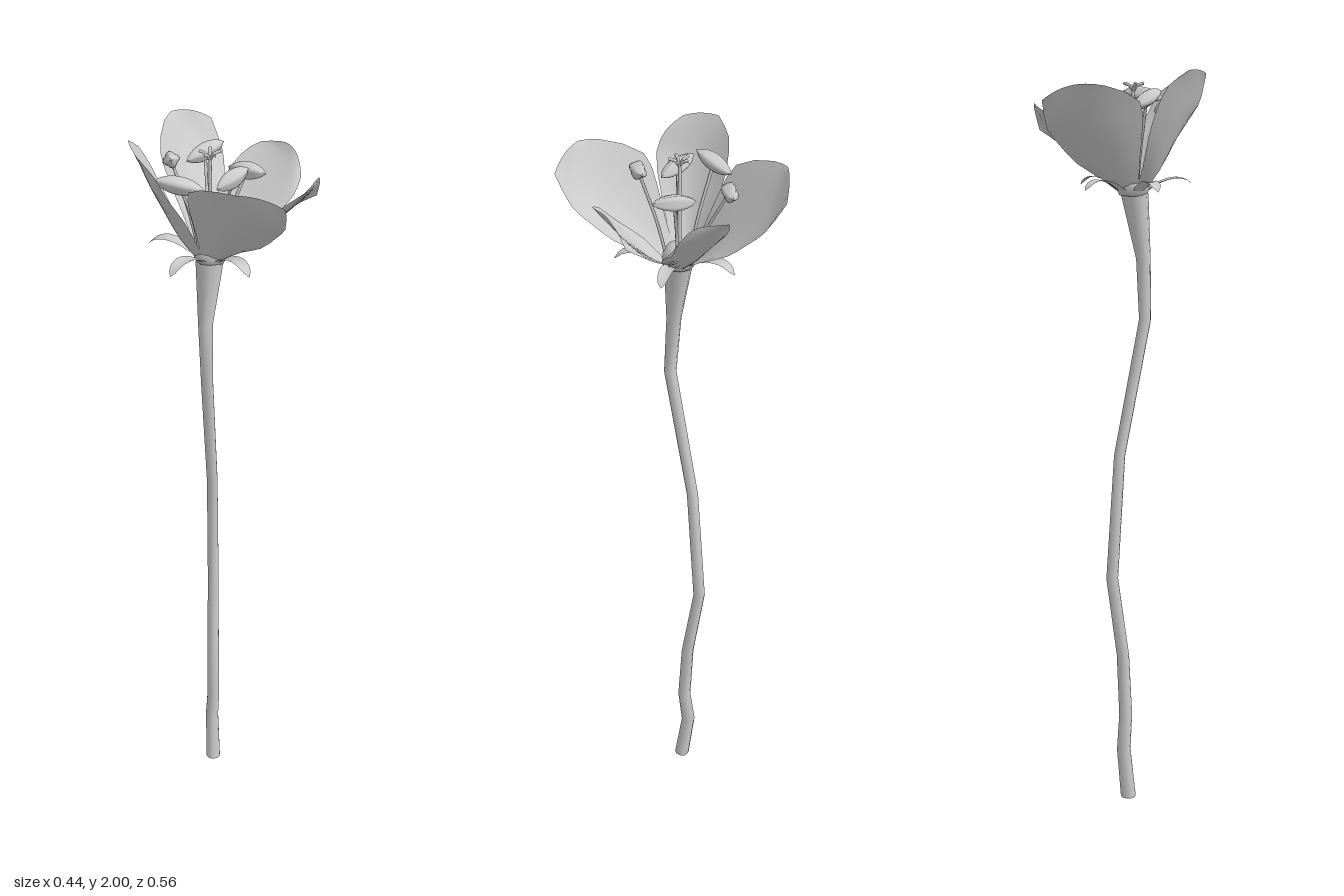
import * as THREE from 'three';

const V = (x, y, z) => new THREE.Vector3(x, y, z);
const CX = -0.03; // axis of the flower head

const grey = new THREE.MeshStandardMaterial({ color: 0xcccccc });
const greyThin = new THREE.MeshStandardMaterial({ color: 0xcccccc, side: THREE.DoubleSide });

function add(parent, name, geometry, material = grey) {
  const mesh = new THREE.Mesh(geometry, material);
  mesh.name = name;
  parent.add(mesh);
  return mesh;
}

// Surface from fn(u, v); a closed one joins v = 1 back to v = 0
function surface(nu, nv, fn, closed = false) {
  const pos = [], idx = [];
  const cols = closed ? nv : nv + 1;
  for (let i = 0; i <= nu; i++)
    for (let j = 0; j < cols; j++) pos.push(...fn(i / nu, j / nv).toArray());
  for (let i = 0; i < nu; i++)
    for (let j = 0; j < nv; j++) {
      const k = (j + 1) % cols;
      const a = i * cols + j, b = a + cols, c = i * cols + k, d = c + cols;
      idx.push(a, b, c, b, d, c);
    }
  const g = new THREE.BufferGeometry();
  g.setAttribute('position', new THREE.Float32BufferAttribute(pos, 3));
  g.setIndex(idx);
  g.computeVertexNormals();
  return g;
}

// Petal from rows of left edge, middle and right edge
function petalGeometry(rows, flip) {
  const rails = [0, 1, 2].map(k => new THREE.CatmullRomCurve3(
    rows.map(r => V(r[3 * k], r[3 * k + 1], r[3 * k + 2] * flip))));
  return surface(10, 8, (u, v) => {
    const [l, m, r] = rails.map(c => c.getPoint(u));
    return l.multiplyScalar((1 - v) * (1 - 2 * v))
      .addScaledVector(m, 4 * v * (1 - v))
      .addScaledVector(r, v * (2 * v - 1));
  });
}

const leftPetal = [
  [-.045, 1.69, -.015, -.06, 1.69, 0, -.045, 1.69, .015],
  [-.085, 1.76, -.045, -.105, 1.75, 0, -.08, 1.76, .045],
  [-.12, 1.84, -.075, -.145, 1.83, 0, -.115, 1.83, .072],
  [-.15, 1.91, -.085, -.178, 1.90, 0, -.165, 1.91, .098],
  [-.18, 1.965, -.08, -.2, 1.955, 0, -.19, 1.96, .08],
  [-.215, 2, -.045, -.22, 2, 0, -.215, 1.99, .045],
];
const sidePetal = [
  [-.055, 1.69, -.015, -.03, 1.69, -.025, -.01, 1.69, -.02],
  [-.08, 1.78, -.05, -.02, 1.745, -.08, .025, 1.73, -.07],
  [-.105, 1.86, -.08, -.025, 1.82, -.145, .05, 1.77, -.14],
  [-.118, 1.925, -.115, -.02, 1.875, -.2, .068, 1.82, -.195],
  [-.08, 1.965, -.215, 0, 1.915, -.25, .076, 1.86, -.235],
  [-.05, 1.97, -.255, .005, 1.96, -.272, .06, 1.93, -.28],
];
const frontPetal = [
  [-.02, 1.69, -.025, 0, 1.69, -.015, 0, 1.69, -.003],
  [0, 1.76, -.08, .04, 1.735, -.055, .045, 1.725, -.005],
  [.04, 1.82, -.135, .09, 1.79, -.08, .1, 1.755, -.008],
  [.1, 1.88, -.158, .14, 1.835, -.09, .15, 1.785, -.012],
  [.15, 1.905, -.157, .19, 1.875, -.09, .19, 1.815, -.022],
  [.19, 1.915, -.12, .215, 1.9, -.085, .22, 1.845, -.055],
];

// Stem rings: x, y, z, radius
const stemRings = [
  [-.025, 0, -.012, .021], [-.022, .15, -.032, .019], [-.021, .25, -.02, .018],
  [-.018, .43, -.03, .017], [-.006, .66, -.066, .016], [-.015, 1, -.042, .015],
  [-.05, 1.36, .03, .016], [-.05, 1.52, .02, .019], [-.033, 1.69, .003, .036],
];

// Anther centre followed by its tip
const stamens = [
  [V(-.002, 1.91, -.13), V(.053, 1.92, -.152)],
  [V(-.107, 1.93, -.063), V(-.12, 1.95, -.015)],
  [V(-.115, 1.905, .03), V(-.17, 1.915, .005)],
  [V(-.005, 1.935, .095), V(.042, 1.945, .07)],
  [V(.067, 1.9, -.015), V(.1, 1.905, .03)],
];

// Ridged spindle along y
function antherGeometry(length) {
  return surface(8, 16, (u, v) => {
    const a = v * Math.PI * 2;
    const r = .019 * Math.pow(Math.sin(Math.PI * u), .7) * (1 + .15 * Math.cos(4 * a));
    return V(r * Math.cos(a), (u - .5) * length, r * Math.sin(a));
  }, true);
}

export function createModel() {
  const flower = new THREE.Group();
  flower.name = 'flower';

  // Stem with a cut lower end
  add(flower, 'stem', surface(stemRings.length - 1, 10, (u, v) => {
    const [x, y, z, r] = stemRings[Math.round(u * (stemRings.length - 1))];
    const a = v * Math.PI * 2;
    return V(x + r * Math.cos(a), y, z + r * Math.sin(a));
  }, true));
  const cut = add(flower, 'stemEnd', new THREE.CircleGeometry(.021, 10));
  cut.rotation.x = Math.PI / 2;
  cut.position.set(-.025, 0, -.012);

  // Receptacle with the domed ovary
  const ovary = add(flower, 'ovary', new THREE.LatheGeometry(
    [[0, 0], [.036, 0], [.043, .018], [.041, .035], [.03, .052], [.015, .062], [0, .065]]
      .map(p => new THREE.Vector2(...p)), 16));
  ovary.position.set(CX, 1.685, 0);

  // Petals: one on the right-hand side, two mirrored pairs
  add(flower, 'petal', petalGeometry(leftPetal, 1), greyThin);
  for (const flip of [1, -1]) {
    add(flower, 'petal', petalGeometry(sidePetal, flip), greyThin);
    add(flower, 'petal', petalGeometry(frontPetal, flip), greyThin);
  }

  // Sepals curling down between the petals
  const spine = new THREE.CatmullRomCurve3(
    [V(.03, 1.69, 0), V(.07, 1.715, 0), V(.11, 1.727, 0), V(.14, 1.722, 0), V(.16, 1.705, 0)]);
  const sepalGeometry = surface(8, 4, (u, v) => {
    const p = spine.getPoint(u), s = 2 * v - 1;
    p.z = s * .022 * Math.pow(1 - u, .6) * (.7 + u);
    p.y += .006 * s * s * (1 - u);
    return p;
  });
  for (let i = 0; i < 5; i++) {
    const sepal = add(flower, 'sepal', sepalGeometry, greyThin);
    sepal.position.x = CX;
    sepal.rotation.y = i * Math.PI * 2 / 5;
  }

  // Stamens: bowed filament and ridged anther
  for (const [centre, tip] of stamens) {
    const stamen = new THREE.Group();
    stamen.name = 'stamen';
    flower.add(stamen);
    const out = V(centre.x - CX, 0, centre.z);
    const root = out.clone().setLength(.03).add(V(CX, 1.7, 0));
    const bend = out.clone().multiplyScalar(.55).add(V(CX, 1.8, 0));
    add(stamen, 'filament', new THREE.TubeGeometry(
      new THREE.CatmullRomCurve3([root, bend, centre]), 8, .004, 6));
    const axis = tip.clone().sub(centre);
    const anther = add(stamen, 'anther', antherGeometry(axis.length() * 2));
    anther.position.copy(centre);
    anther.quaternion.setFromUnitVectors(V(0, 1, 0), axis.normalize());
  }

  // Style topped by a five-armed stigma
  const style = add(flower, 'style', new THREE.CylinderGeometry(.004, .006, .22, 8));
  style.position.set(CX, 1.845, 0);
  for (let i = 0; i < 5; i++) {
    const a = i * Math.PI * 2 / 5;
    const at = (r, y) => V(CX + r * Math.cos(a), y, r * Math.sin(a));
    add(flower, 'stigmaArm', new THREE.TubeGeometry(
      new THREE.CatmullRomCurve3([at(0, 1.945), at(.01, 1.96), at(.027, 1.965)]), 4, .004, 6));
  }
  return flower;
}
